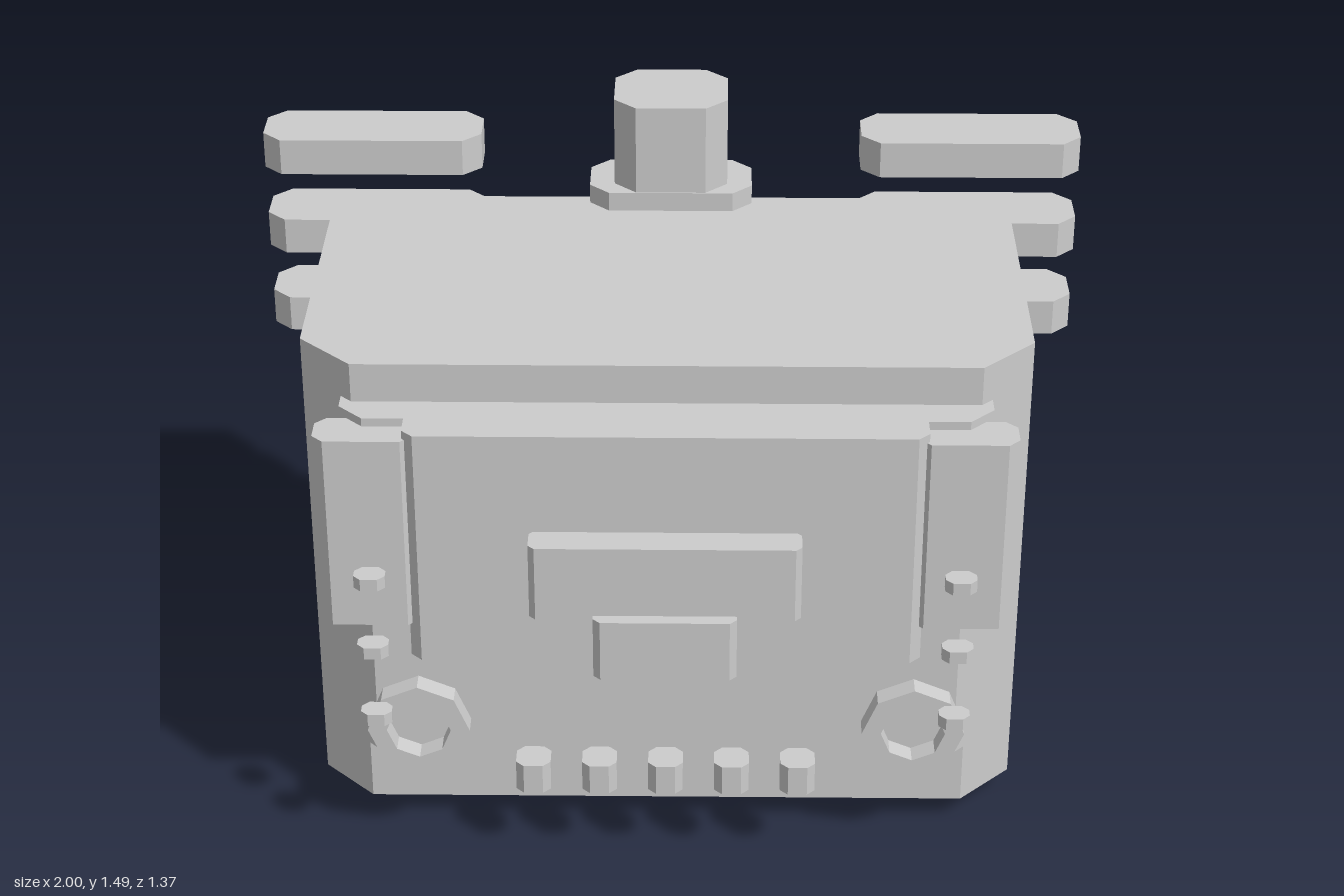
import * as THREE from 'three';

const grey = new THREE.MeshStandardMaterial({ color: 0xcccccc });
grey.name = 'plain grey';
grey.flatShading = true;

// Upright box whose four vertical edges are chamfered by c
function chamferBox(x0, x1, y0, y1, z0, z1, c) {
  const s = new THREE.Shape();
  s.moveTo(x0 + c, -z0);
  s.lineTo(x1 - c, -z0);
  s.lineTo(x1, -z0 - c);
  s.lineTo(x1, -z1 + c);
  s.lineTo(x1 - c, -z1);
  s.lineTo(x0 + c, -z1);
  s.lineTo(x0, -z1 + c);
  s.lineTo(x0, -z0 - c);
  s.closePath();
  const g = new THREE.ExtrudeGeometry(s, { depth: y1 - y0, bevelEnabled: false });
  g.rotateX(-Math.PI / 2);
  g.translate(0, y0, 0);
  return g;
}

function octagon(path, r) {
  for (let i = 0; i < 8; i++) {
    const a = (i * Math.PI) / 4;
    path[i ? 'lineTo' : 'moveTo'](r * Math.cos(a), r * Math.sin(a));
  }
  path.closePath();
  return path;
}

export function createModel() {
  const model = new THREE.Group();
  model.name = 'controlUnit';
  const add = (name, geometry) => {
    const mesh = new THREE.Mesh(geometry, grey);
    mesh.name = name;
    model.add(mesh);
    return mesh;
  };
  const block = (name, ...dims) => add(name, chamferBox(...dims));

  // Main housing and foot
  block('foot', -0.602, 0.602, 0, 0.062, -0.337, 0.302, 0.052);
  block('housing', -0.822, 0.822, 0.062, 1.223, -0.459, 0.427, 0.122);

  // Stepped front panels
  block('frontPanel', -0.725, 0.725, 0.25, 1.13, 0.3, 0.505, 0.055);
  block('upperPanel', -0.577, 0.577, 0.55, 1.13, 0.45, 0.585, 0.025);
  block('displayPlate', -0.302, 0.302, 0.707, 0.89, 0.58, 0.658, 0.014);
  block('lowerPlate', -0.16, 0.16, 0.568, 0.718, 0.6, 0.688, 0.016);

  // Row of knobs below the panel
  for (let i = -2; i <= 2; i++) {
    const x = i * 0.1525;
    block('knob', x - 0.04, x + 0.04, 0.2, 0.275, 0.528, 0.608, 0.018);
  }

  // Exhaust column, collar and ribs at the back
  block('column', -0.137, 0.137, 0.35, 1.49, -0.625, -0.383, 0.053);
  block('collar', -0.197, 0.197, 1.0, 1.27, -0.578, -0.38, 0.047);
  for (let i = 0; i < 5; i++) {
    const y = 0.432 + i * 0.222;
    block('rib', -0.134, 0.134, y - 0.03, y + 0.03, -0.686, -0.632, 0.018);
  }

  // Parts mirrored left and right
  for (const side of [-1, 1]) {
    const pair = (name, xa, xb, ...rest) =>
      block(name, Math.min(side * xa, side * xb), Math.max(side * xa, side * xb), ...rest);

    pair('sidePanel', 0.555, 0.775, 0.637, 1.11, 0.468, 0.575, 0.025);
    for (const y of [0.43, 0.61, 0.79]) pair('button', 0.62, 0.69, y - 0.015, y + 0.015, 0.6, 0.654, 0.016);
    for (const y of [0.89, 1.104, 1.317]) pair('rearFin', 0.465, 1.0, y - 0.045, y + 0.045, -0.66, -0.475, 0.045);

    // Octagonal dial ring
    const ring = octagon(new THREE.Shape(), 0.118);
    ring.holes.push(octagon(new THREE.Path(), 0.074));
    const dial = add('dial', new THREE.ExtrudeGeometry(ring, { depth: 0.052, bevelEnabled: false }));
    dial.position.set(side * 0.57, 0.336, 0.503);
  }
  return model;
}
